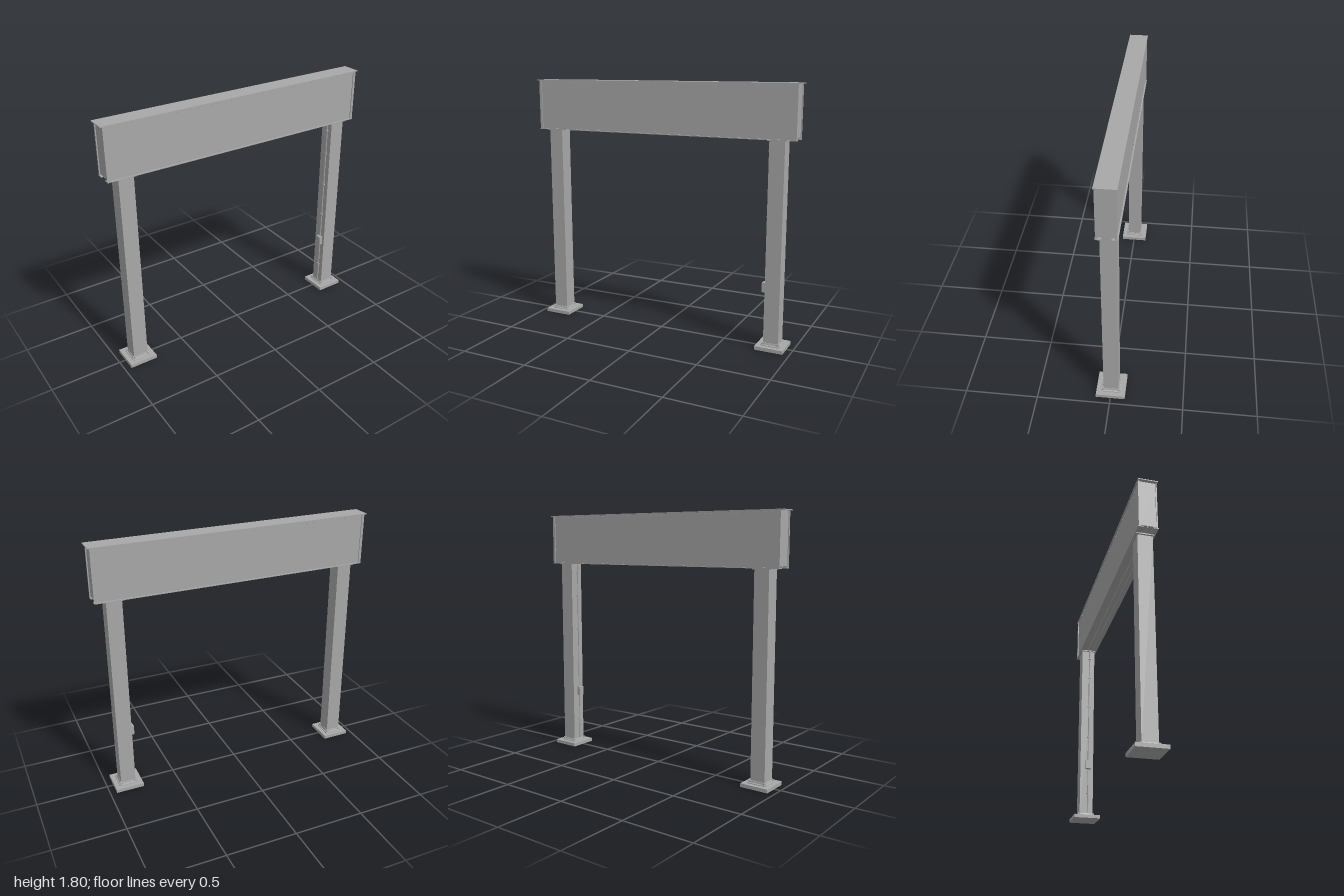
import * as THREE from 'three';

export function createModel() {
  const model = new THREE.Group();
  const steel = new THREE.MeshStandardMaterial({ color: 0xa8a8a8 });
  steel.name = 'grey steel';

  const add = (name, geometry, x, y, z, parent = model) => {
    const mesh = new THREE.Mesh(geometry, steel);
    mesh.name = name;
    mesh.position.set(x, y, z);
    parent.add(mesh);
    return mesh;
  };
  // Box given by its low and high corner
  const box = (name, [x0, y0, z0], [x1, y1, z1], parent = model) =>
    add(name, new THREE.BoxGeometry(x1 - x0, y1 - y0, z1 - z0),
      (x0 + x1) / 2, (y0 + y1) / 2, (z0 + z1) / 2, parent);

  // Box girder with a wide cover plate and a recessed underside
  const girder = new THREE.Group();
  girder.name = 'girder';
  model.add(girder);
  box('girderCore', [-0.978, 1.45, -0.057], [0.978, 1.795, 0.057], girder);
  box('topPlate', [-1, 1.794, -0.067], [1, 1.8, 0.067], girder);
  box('undersideRib', [-0.975, 1.44, -0.004], [0.975, 1.451, 0.004], girder);

  const boltGeometry = new THREE.CylinderGeometry(0.004, 0.004, 0.005, 6).rotateX(Math.PI / 2);
  for (const s of [-1, 1]) {
    const strip = (name, x0, x1, y0, y1, zIn, zOut) =>
      box(name, [x0, y0, Math.min(s * zIn, s * zOut)], [x1, y1, Math.max(s * zIn, s * zOut)], girder);
    strip('bottomFlange', -0.985, 0.985, 1.434, 1.44, 0.03, 0.067);
    strip('lowerWeb', -0.978, 0.978, 1.438, 1.452, 0.049, 0.057);
    for (const end of [-1, 1]) {
      const a = end * 0.966, b = end * 0.985;
      strip('endTrim', Math.min(a, b), Math.max(a, b), 1.439, 1.795, 0.054, 0.063);
    }
    // Rows of bolts under the cover plate and above the bottom flange
    for (let i = 0; i < 38; i++) {
      const x = -0.925 + i * 0.05;
      add('upperBolt', boltGeometry, x, 1.781, s * 0.059, girder);
      if (i % 3 === 0) add('lowerBolt', boltGeometry, x, 1.449, s * 0.059, girder);
    }
  }

  // Sloped angle that braces one side of a column foot
  const angleShape = new THREE.Shape([
    [0.045, 0], [0.068, 0], [0.068, 0.006], [0.059, 0.009], [0.056, 0.021], [0.045, 0.021],
  ].map(p => new THREE.Vector2(...p)));
  const angleGeometry = new THREE.ExtrudeGeometry(angleShape, { depth: 0.124, bevelEnabled: false });
  angleGeometry.translate(0, 0, -0.062);

  // Columns with foot pads and cap plates
  for (const s of [-1, 1]) {
    const column = new THREE.Group();
    column.name = s < 0 ? 'rightColumn' : 'leftColumn';
    column.position.x = s * 0.855;
    model.add(column);
    box('shaft', [-0.053, 0.02, -0.051], [0.053, 1.436, 0.051], column);
    box('footPad', [-0.1, 0, -0.1], [0.1, 0.025, 0.1], column);
    box('capPlate', [-0.065, 1.428, -0.06], [0.065, 1.436, 0.06], column);
    for (let i = 0; i < 4; i++) {
      add('footAngle', angleGeometry, 0, 0.024, 0, column).rotation.y = i * Math.PI / 2;
    }
  }

  // Conduit, clips and junction box on the inner face of the left column
  const face = 0.802;
  add('conduit', new THREE.CylinderGeometry(0.005, 0.005, 1.39, 10), face - 0.004, 0.74, 0.01);
  for (const y of [0.2, 0.66, 0.92, 1.18, 1.36]) {
    box('conduitClip', [face - 0.011, y - 0.005, -0.002], [face + 0.002, y + 0.005, 0.022]);
  }
  box('junctionBox', [0.775, 0.395, -0.012], [face + 0.002, 0.462, 0.032]);

  return model;
}
